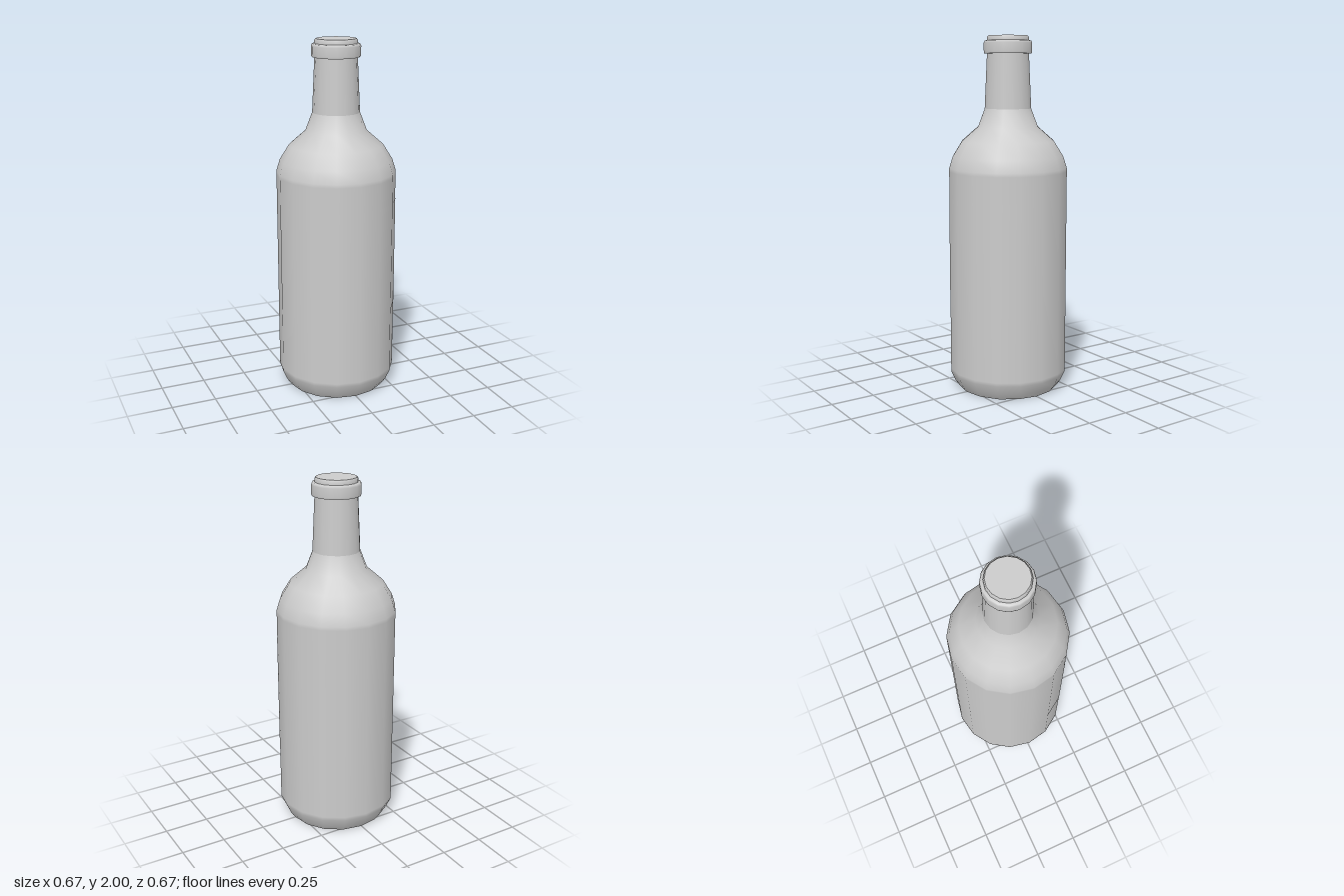
import * as THREE from 'three';

const SIDES = 16;
const RIM = Math.PI * 2 / SIDES;

export function createModel() {
  const group = new THREE.Group();
  const material = new THREE.MeshStandardMaterial({ color: 0xcccccc });

  // Revolve [radius, height] points, listed upwards along the outside
  function turn(name, profile, start = 0, steps = SIDES, mat = material) {
    const points = profile.map(([r, y]) => new THREE.Vector2(r, y));
    const mesh = new THREE.Mesh(new THREE.LatheGeometry(points, steps, start * RIM, steps * RIM), mat);
    mesh.name = name;
    group.add(mesh);
  }

  // Flat underside
  turn('base', [[0, 0], [0.285, 0]]);

  // Rounded foot, straight wall and shoulder; close rows keep the wall shading straight
  turn('body', [
    [0.285, 0], [0.31, 0.035], [0.335, 0.09], [0.335, 0.11],
    [0.335, 1.25], [0.335, 1.27], [0.315, 1.335], [0.262, 1.42],
    [0.17, 1.5], [0.132, 1.6],
  ]);

  // Slightly tapered neck
  turn('neck', [[0.132, 1.6], [0.118, 1.905]]);

  // Raised collar around the mouth
  turn('collarUnderside', [[0.115, 1.902], [0.133, 1.902]]);
  turn('collar', [[0.133, 1.902], [0.136, 1.912], [0.136, 1.96], [0.131, 1.972], [0.115, 1.975]]);

  // Closed mouth with a small bevel
  turn('mouth', [[0.118, 1.97], [0.118, 1.99], [0.111, 2]]);
  turn('mouthTop', [[0.111, 2], [0, 2]]);

  // Thin label wrapped around the front
  const labelMaterial = material.clone();
  labelMaterial.side = THREE.DoubleSide;
  turn('label', [[0.3362, 0.48], [0.3362, 1.105]], -4, 7, labelMaterial);

  return group;
}
